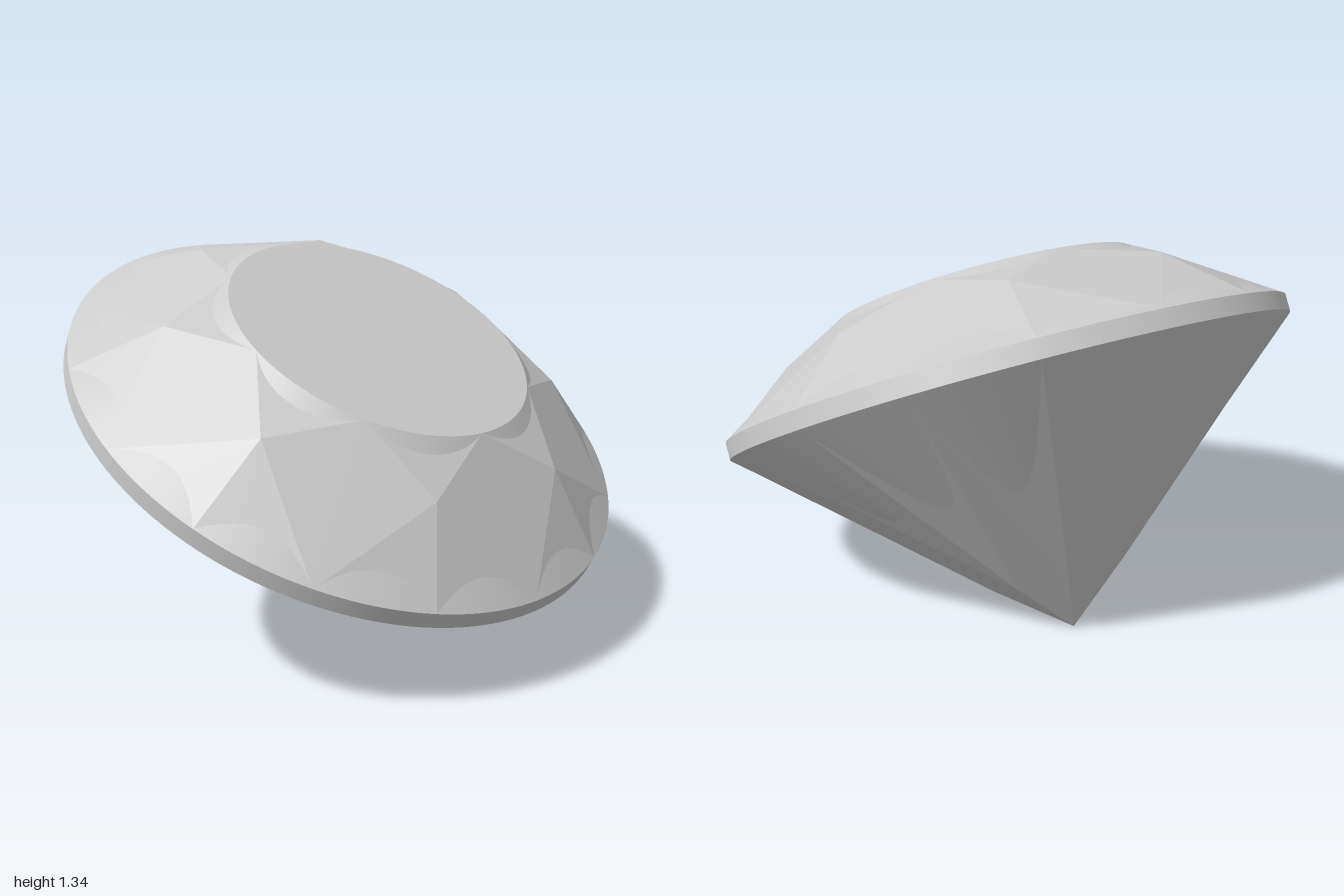
import * as THREE from 'three';
import { mergeVertices } from 'three/addons/utils/BufferGeometryUtils.js';

const STEP = Math.PI / 8; // 22.5 degrees, half the spacing of the main facets
const TABLE_R = 0.54, TABLE_Y = 0.31, GIRDLE = 0.06, CULET_Y = -0.92;
const SEGMENTS = 12; // divisions along each curved facet edge
const INSIDE = new THREE.Vector3(0, -GIRDLE / 2, 0);

const polar = (r, a, y) => new THREE.Vector3(r * Math.sin(a), y, r * Math.cos(a));

// Adds a triangle, turned so that it faces away from the middle of the stone
function addTri(list, a, b, c) {
  const n = b.clone().sub(a).cross(c.clone().sub(a));
  const out = a.clone().add(b).add(c).divideScalar(3).sub(INSIDE);
  const order = n.dot(out) < 0 ? [a, c, b] : [a, b, c];
  for (const p of order) list.push(p.x, p.y, p.z);
}

// Flat facet standing on an arc of a circle, meeting a narrow conical strip in a hyperbola.
// reach = radius of the hyperbola at mid-arc, relative to the circle
function addArcFacet(flat, cone, radius, y0, mid, half, apexR, apexA, apexY, reach) {
  const d = Math.cos(half), q = (d - reach) / (1 - reach);
  const apex = polar(apexR, apexA, apexY);
  const slope = (apexY - y0) / (radius * d - apexR * Math.cos(apexA - mid));
  const rim = [], arc = [];
  for (let i = 0; i <= SEGMENTS; i++) {
    const a = half * (2 * i / SEGMENTS - 1);
    const end = i === 0 || i === SEGMENTS;
    const r = end ? radius : radius * (d - q) / (Math.cos(a) - q);
    rim.push(polar(radius, mid + a, y0));
    arc.push(polar(r, mid + a, end ? y0 : y0 + slope * (radius * d - r * Math.cos(a))));
  }
  for (let i = 0; i < SEGMENTS; i++) {
    addTri(flat, apex, arc[i], arc[i + 1]);
    if (i > 0) addTri(cone, rim[i], arc[i], arc[i + 1]);
    if (i < SEGMENTS - 1) addTri(cone, rim[i], arc[i + 1], rim[i + 1]);
  }
}

function toGeometry(list, smooth) {
  let g = new THREE.BufferGeometry();
  g.setAttribute('position', new THREE.Float32BufferAttribute(list, 3));
  if (smooth) g = mergeVertices(g, 1e-5);
  g.computeVertexNormals();
  return g;
}

export function createModel() {
  const model = new THREE.Group();
  model.name = 'gemstone';
  const stone = new THREE.Group();
  stone.name = 'tiltedStone';
  model.add(stone);
  const material = new THREE.MeshStandardMaterial({ color: 0xcccccc });
  const add = (name, geometry) => {
    const mesh = new THREE.Mesh(geometry, material);
    mesh.name = name;
    stone.add(mesh);
    return mesh;
  };

  const crown = [], starStrip = [], crownStrip = [], pavilion = [], pavilionStrip = [];
  const cosStep = Math.cos(STEP);

  // Side corners of the kites, placed so that each kite is flat
  const upR = 0.74;
  const upY = TABLE_Y * (1 - upR * cosStep) / (1 - TABLE_R);
  const t = 0.22, lowR = t / cosStep;
  const lowY = CULET_Y + (-GIRDLE - CULET_Y) * t;
  const culet = new THREE.Vector3(0, CULET_Y, 0);

  for (let i = 0; i < 8; i++) {
    const a = i * 2 * STEP, b = a + STEP;

    // Crown and pavilion kites
    for (const s of [-1, 1]) {
      addTri(crown, polar(TABLE_R, a, TABLE_Y), polar(upR, a + s * STEP, upY), polar(1, a, 0));
      addTri(pavilion, culet, polar(lowR, a + s * STEP, lowY), polar(1, a, -GIRDLE));
    }
    // Star facet beside the table
    addArcFacet(crown, starStrip, TABLE_R, TABLE_Y, b, STEP, upR, b, upY, 1.093);
    // Pairs of facets above and below the girdle
    for (const s of [-1, 1]) {
      const mid = b + s * STEP / 2;
      addArcFacet(crown, crownStrip, 1, 0, mid, STEP / 2, upR, b, upY, 0.91);
      addArcFacet(pavilion, pavilionStrip, 1, -GIRDLE, mid, STEP / 2, lowR, b, lowY, 0.6);
    }
  }

  add('crownFacets', toGeometry(crown, false));
  add('tableBevel', toGeometry(starStrip, true));
  add('crownEdge', toGeometry(crownStrip, true));
  add('pavilionFacets', toGeometry(pavilion, false));
  add('pavilionCone', toGeometry(pavilionStrip, true));

  // Flat round table
  const table = add('table', new THREE.CircleGeometry(TABLE_R, 8 * SEGMENTS));
  table.rotation.x = -Math.PI / 2;
  table.position.y = TABLE_Y;

  // Girdle band
  const girdle = add('girdle', new THREE.CylinderGeometry(1, 1, GIRDLE, 16 * SEGMENTS, 1, true));
  girdle.position.y = -GIRDLE / 2;

  // The stone leans forward with its point on the ground
  stone.rotation.x = Math.PI / 6;
  stone.position.set(0, 0.797, 0.015);
  return model;
}
